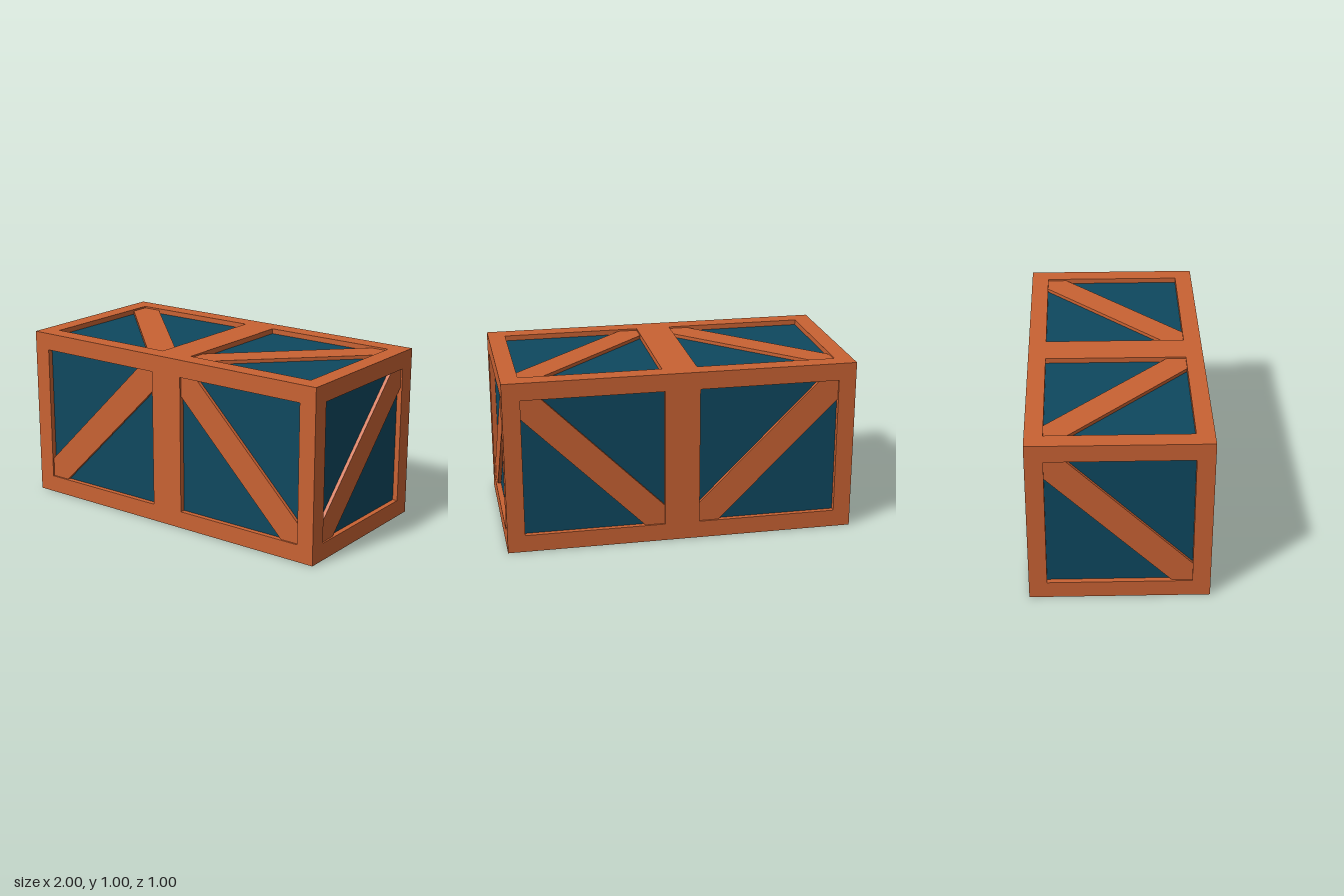
import * as THREE from 'three';

export function createModel() {
  const model = new THREE.Group();
  model.name = 'crate';
  const orange = new THREE.MeshStandardMaterial({ color: 0xc96233 });
  orange.name = 'orange frame';
  const blue = new THREE.MeshStandardMaterial({ color: 0x0e485f });
  blue.name = 'dark blue panel';

  const box = (name, material, size, pos) => {
    const mesh = new THREE.Mesh(new THREE.BoxGeometry(...size), material);
    mesh.name = name;
    mesh.position.set(...pos);
    model.add(mesh);
  };

  // Recessed panels: one solid core behind the frame
  box('panels', blue, [1.94, 0.94, 0.94], [0, 0.5, 0]);

  // Frame beams along the edges, and the wide band round the middle
  for (const a of [-1, 1]) {
    for (const b of [-1, 1]) {
      box('cornerPost', orange, [0.1, 1, 0.1], [a * 0.95, 0.5, b * 0.45]);
      box('longBeam', orange, [1.8, 0.1, 0.1], [0, 0.5 + a * 0.45, b * 0.45]);
      box('endBeam', orange, [0.1, 0.1, 0.8], [a * 0.95, 0.5 + b * 0.45, 0]);
    }
    box('middlePost', orange, [0.2, 0.8, 0.1], [0, 0.5, a * 0.45]);
    box('middleStrap', orange, [0.2, 0.1, 0.8], [0, 0.5 + a * 0.45, 0]);
  }

  // Diagonal brace filling a square bay; slope 1 rises to the right, -1 falls
  const braceGeometry = (slope) => {
    const h = 0.4, c = 0.4 - 0.113;
    const points = [[-h, -h], [-c, -h], [h, c], [h, h], [c, h], [-h, -c]];
    const shape = new THREE.Shape(points.map(([x, y]) => new THREE.Vector2(x * slope, y)));
    return new THREE.ExtrudeGeometry(shape, { depth: 0.03, bevelEnabled: false });
  };
  const rising = braceGeometry(1), falling = braceGeometry(-1);

  // Each side: rotation, distance from centre, and [bay centre, slope] seen from outside
  const q = Math.PI / 2;
  const sides = [
    ['front', [0, 0, 0], 0.5, [[-0.5, 1], [0.5, -1]]],
    ['back', [0, 2 * q, 0], 0.5, [[-0.5, -1], [0.5, 1]]],
    ['right', [0, q, 0], 1, [[0, 1]]],
    ['left', [0, -q, 0], 1, [[0, -1]]],
    ['top', [-q, 0, 0], 0.5, [[-0.5, -1], [0.5, 1]]],
    ['bottom', [q, 0, 0], 0.5, [[-0.5, -1], [0.5, 1]]],
  ];
  // The +x end is the model's own left
  const ownName = { right: 'left', left: 'right' };
  for (const [side, rotation, distance, bays] of sides) {
    const group = new THREE.Group();
    group.name = (ownName[side] || side) + 'Braces';
    group.position.y = 0.5;
    group.rotation.set(...rotation);
    for (const [x, slope] of bays) {
      const brace = new THREE.Mesh(slope > 0 ? rising : falling, orange);
      brace.name = 'brace';
      brace.position.set(x, 0, distance - 0.04);
      group.add(brace);
    }
    model.add(group);
  }
  return model;
}
